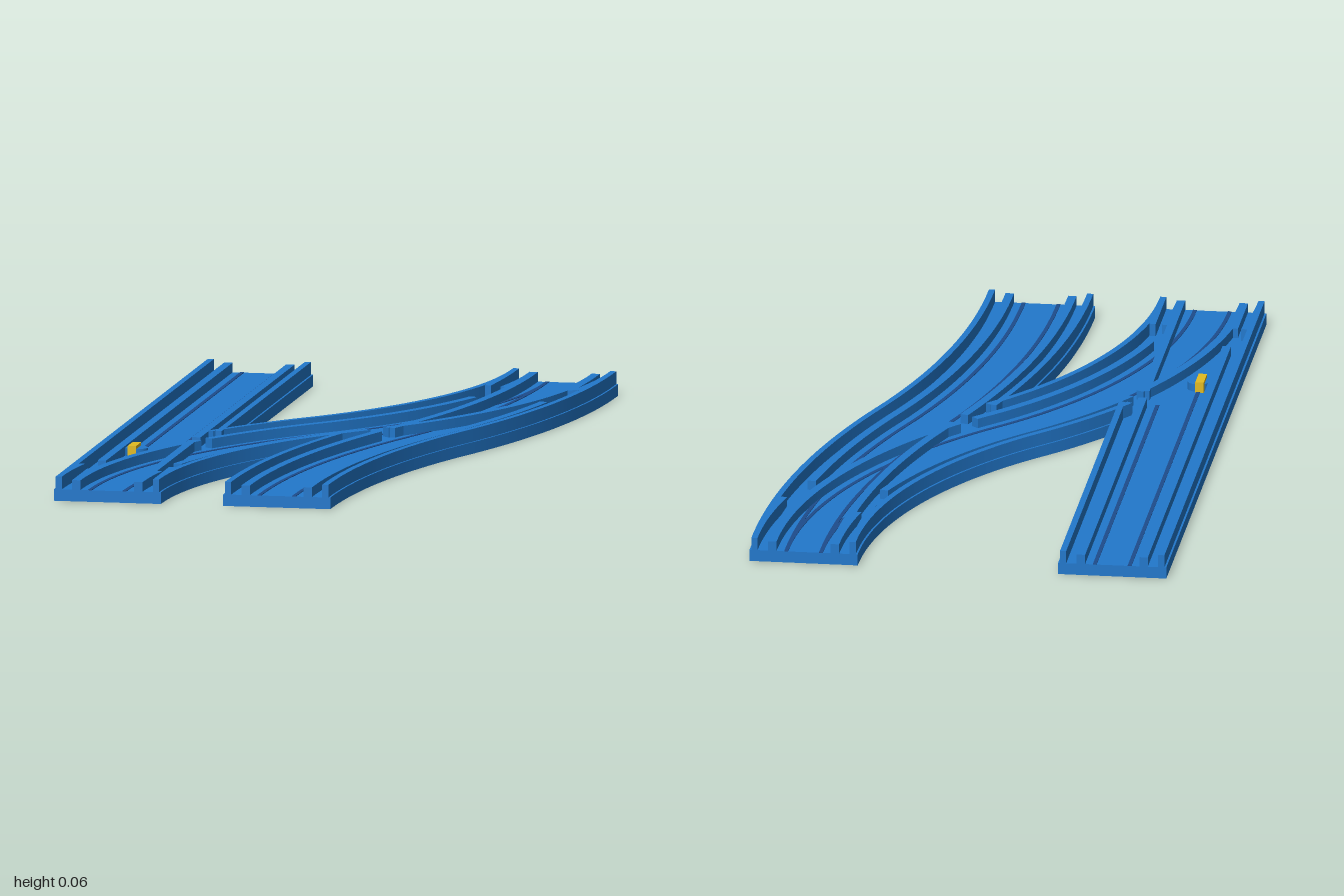
import * as THREE from 'three';

const STEPS = 160;

// A track running from (x0, z = 1) to (x1, z = -1) as two equal opposite arcs
function makeTrack(name, x0, x1) {
  const dx = x1 - x0;
  if (dx === 0) {
    return {
      name,
      at: (t, o) => [x0 + o, 1 - 2 * t],
      offset: (x) => x - x0,
    };
  }
  const theta = 2 * Math.atan(dx / 2);
  const R = 1 / Math.sin(theta);
  const mid = (x0 + x1) / 2;
  return {
    name,
    at(t, o) {
      const first = t <= 0.5;
      const a = theta * 2 * (first ? t : 1 - t);
      const r = first ? R - o : R + o;
      return first
        ? [x0 + R - r * Math.cos(a), 1 - r * Math.sin(a)]
        : [x1 - R + r * Math.cos(a), -1 + r * Math.sin(a)];
    },
    // signed sideways distance of a point from the centre line
    offset(x, z) {
      const first = (x - mid) * Math.sin(theta) - z * Math.cos(theta) < 0;
      return first
        ? R - Math.hypot(x - x0 - R, z - 1)
        : Math.hypot(x - x1 + R, z + 1) - R;
    },
  };
}

// Sweep a rectangle (side a..b, height lo..hi) along a track, leaving gaps where keep() fails
function sweep(track, a, b, lo, hi, keep = () => true) {
  const pos = [];
  const ring = (i) => [[a, lo], [b, lo], [b, hi], [a, hi]].map(([o, y]) => {
    const [x, z] = track.at(i / STEPS, o);
    return [x, y, z];
  });
  const tri = (...pts) => pts.forEach((p) => pos.push(...p));
  const kept = (i) => i >= 0 && i < STEPS && keep(...track.at((i + 0.5) / STEPS, (a + b) / 2));
  for (let i = 0; i < STEPS; i++) {
    if (!kept(i)) continue;
    const f = ring(i), g = ring(i + 1);
    for (let j = 0; j < 4; j++) {
      const k = (j + 1) % 4;
      tri(f[j], g[k], f[k]);
      tri(f[j], g[j], g[k]);
    }
    if (!kept(i - 1)) { tri(f[0], f[1], f[2]); tri(f[0], f[2], f[3]); }
    if (!kept(i + 1)) { tri(g[0], g[2], g[1]); tri(g[0], g[3], g[2]); }
  }
  const geo = new THREE.BufferGeometry();
  geo.setAttribute('position', new THREE.Float32BufferAttribute(pos, 3));
  geo.computeVertexNormals();
  return geo;
}

export function createModel() {
  const model = new THREE.Group();
  model.name = 'railSwitch';
  const mat = (name, color) => {
    const m = new THREE.MeshStandardMaterial({ color });
    m.name = name;
    return m;
  };
  const blue = mat('trackBlue', 0x2278cc);
  const darkBlue = mat('grooveBlue', 0x1d4c8c);
  const yellow = mat('leverYellow', 0xe2bb22);
  const add = (parent, name, geo, material) => {
    const mesh = new THREE.Mesh(geo, material);
    mesh.name = name;
    parent.add(mesh);
    return mesh;
  };

  const straight = makeTrack('straightTrack', -0.4, -0.4);
  const crossover = makeTrack('crossoverTrack', -0.4, 0.398);
  const curved = makeTrack('curvedTrack', 0.043, 0.398);
  const tracks = [straight, crossover, curved];

  for (const track of tracks) {
    const group = new THREE.Group();
    group.name = track.name;
    model.add(group);
    const others = tracks.filter((t) => t !== track);
    const clear = (test) => (x, z) => others.every((t) => test(Math.abs(t.offset(x, z))));

    add(group, 'base', sweep(track, -0.14, 0.14, 0, 0.03), blue);

    for (const s of [-1, 1]) {
      const side = s < 0 ? 'right' : 'left';
      const strip = (name, inner, outer, lo, hi, material, keep) => add(group, side + name,
        sweep(track, Math.min(s * inner, s * outer), Math.max(s * inner, s * outer), lo, hi, keep), material);
      // tall outer wall, open where another track passes through
      strip('OuterWall', 0.119, 0.135, 0.03, 0.063, blue, clear((o) => o > 0.11));
      // lower running rail, cut by the wheel grooves of other tracks
      strip('InnerRail', 0.07, 0.092, 0.03, 0.055, blue, clear((o) => o < 0.094 || o > 0.118));
      // dark floor line
      strip('FloorLine', 0.04, 0.05, 0.03, 0.0315, darkBlue,
        track === straight ? (x, z) => Math.abs(crossover.offset(x, z)) > 0.145 : undefined);
    }
  }

  // switch lever on a round pivot
  const pivot = add(model, 'leverPivot', new THREE.CylinderGeometry(0.03, 0.03, 0.02, 24), blue);
  pivot.position.set(-0.443, 0.04, 0.4);
  const lever = add(model, 'switchLever', new THREE.BoxGeometry(0.022, 0.028, 0.068), yellow);
  lever.position.set(-0.449, 0.044, 0.398);

  return model;
}
